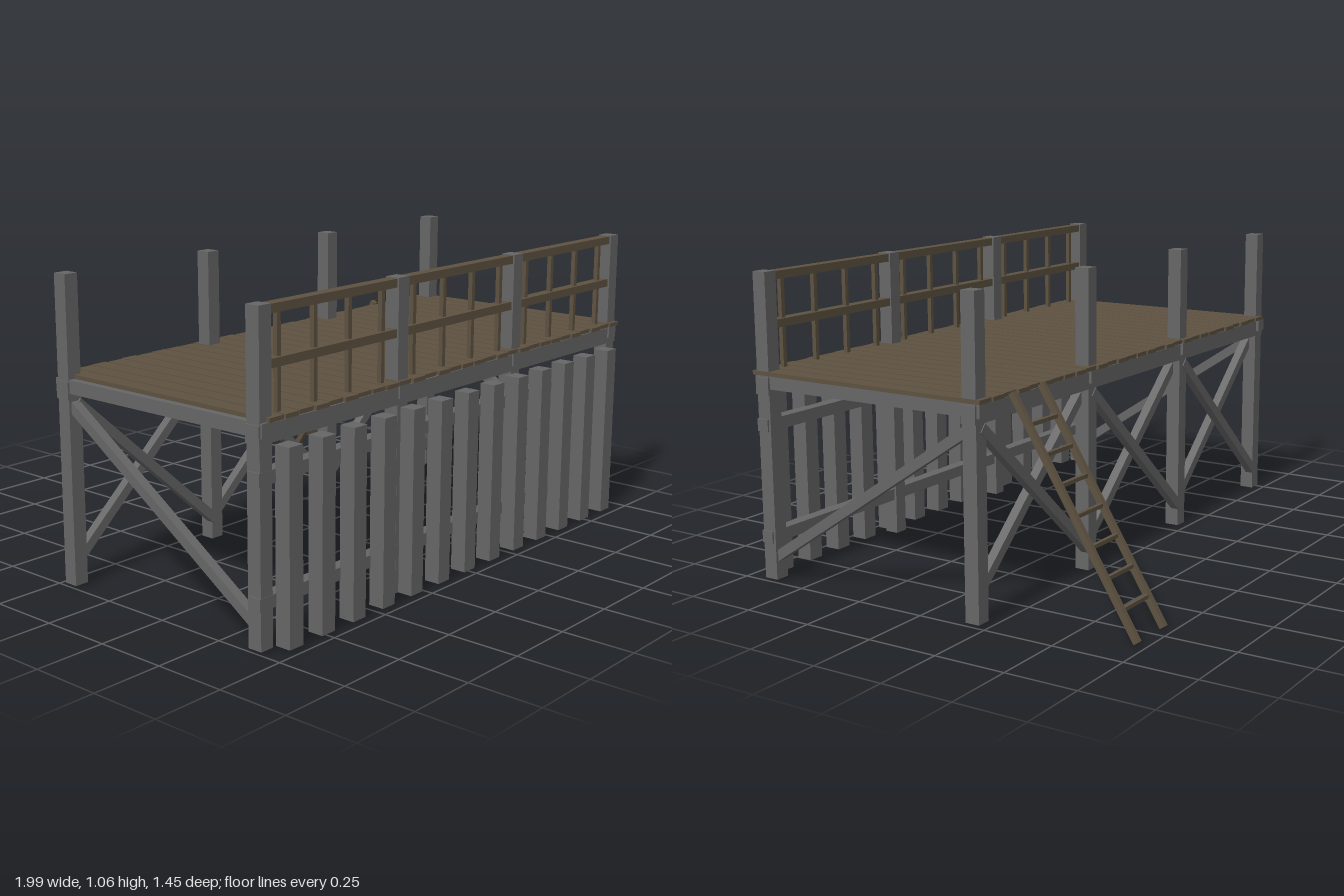
import * as THREE from 'three';

const greyTimber = new THREE.MeshStandardMaterial({ color: 0x666666 });
greyTimber.name = 'greyTimber';
const brownWood = new THREE.MeshStandardMaterial({ color: 0x5e5241 });
brownWood.name = 'brownWood';

// Axis-aligned box given by its min and max on each axis
function box(parent, name, material, [x0, x1], [y0, y1], [z0, z1]) {
  const mesh = new THREE.Mesh(new THREE.BoxGeometry(x1 - x0, y1 - y0, z1 - z0), material);
  mesh.position.set((x0 + x1) / 2, (y0 + y1) / 2, (z0 + z1) / 2);
  mesh.name = name;
  parent.add(mesh);
  return mesh;
}

// Square-cut bar running between two points
function bar(parent, name, material, from, to, width, depth) {
  const a = new THREE.Vector3(...from), b = new THREE.Vector3(...to);
  const mesh = new THREE.Mesh(new THREE.BoxGeometry(width, depth, a.distanceTo(b)), material);
  mesh.position.copy(a).add(b).multiplyScalar(0.5);
  mesh.lookAt(b);
  mesh.name = name;
  parent.add(mesh);
  return mesh;
}

function group(parent, name) {
  const g = new THREE.Group();
  g.name = name;
  parent.add(g);
  return g;
}

export function createModel() {
  const model = new THREE.Group();
  model.name = 'timberPlatform';

  const postX = [-0.967, -0.323, 0.32, 0.964];
  const frontZ = 0.644, backZ = -0.198;
  const around = (c, half) => [c - half, c + half];

  // Posts and the beams across the platform
  const frame = group(model, 'frame');
  for (const x of postX) {
    for (const z of [frontZ, backZ]) {
      box(frame, 'post', greyTimber, around(x, 0.026), [0.008, 1.057], around(z, 0.026));
    }
    box(frame, 'crossBeam', greyTimber, around(x, 0.024), [0.667, 0.712], [-0.236, 0.678]);
  }

  // Beams along the platform
  for (const z of [frontZ, backZ]) {
    box(frame, 'longBeam', greyTimber, [-0.998, 0.996], [0.647, 0.706], around(z, 0.0275));
  }

  // Diagonal side braces at both ends
  for (const x of [postX[0], postX[3]]) {
    bar(frame, 'sideBrace', greyTimber, [x, 0.077, 0.64], [x, 0.63, -0.19], 0.034, 0.034);
  }

  // Crossed braces in the three back bays
  for (let i = 0; i < 3; i++) {
    const c = (postX[i] + postX[i + 1]) / 2;
    for (const [s, z] of [[1, -0.211], [-1, -0.181]]) {
      bar(frame, 'backBrace', greyTimber,
        [c - s * 0.315, 0.077, z], [c + s * 0.315, 0.633, z], 0.032, 0.034);
    }
  }

  // Front palisade: two rails and thirteen pickets
  const palisade = group(model, 'palisade');
  for (const y of [0.156, 0.543]) {
    box(palisade, 'palisadeRail', greyTimber, [-0.998, 0.996], around(y, 0.021), [0.626, 0.671]);
  }
  for (let i = 0; i < 13; i++) {
    box(palisade, 'picket', greyTimber, around(-0.896 + i * 0.1485, 0.03), [0.008, 0.637], [0.668, 0.725]);
  }

  // Deck planks with slightly uneven ends
  const deck = group(model, 'deck');
  const count = 29, left = -0.97, pitch = (0.996 - left) / count;
  for (let i = 0; i < count; i++) {
    const x = left + i * pitch;
    const shift = 0.004 * Math.sin(i * 2.7);
    box(deck, 'plank', brownWood, [x + 0.004, x + pitch - 0.003], [0.712, 0.726],
      [-0.242 + shift, 0.685 + shift]);
  }

  // Front railing
  const railing = group(model, 'railing');
  for (const y of [0.879, 1.04]) {
    box(railing, 'handRail', brownWood, [-0.965, 0.962], around(y, 0.014), [0.624, 0.664]);
  }
  for (let i = 0; i < 12; i++) {
    const x = (i - 5.5) * 0.1615;
    box(railing, 'baluster', brownWood, around(x, 0.008), [0.72, 1.03], around(frontZ, 0.008));
  }

  // Leaning ladder at the back
  const ladder = group(model, 'ladder');
  for (const x of [0.693, 0.855]) {
    bar(ladder, 'ladderRail', brownWood, [x, 0.007, -0.715], [x, 0.73, -0.265], 0.019, 0.021);
  }
  for (let i = 0; i < 7; i++) {
    const y = 0.1 + i * 0.0892, z = -0.659 + i * 0.0555;
    bar(ladder, 'rung', brownWood, [0.693, y, z], [0.855, y, z], 0.013, 0.013);
  }

  return model;
}
